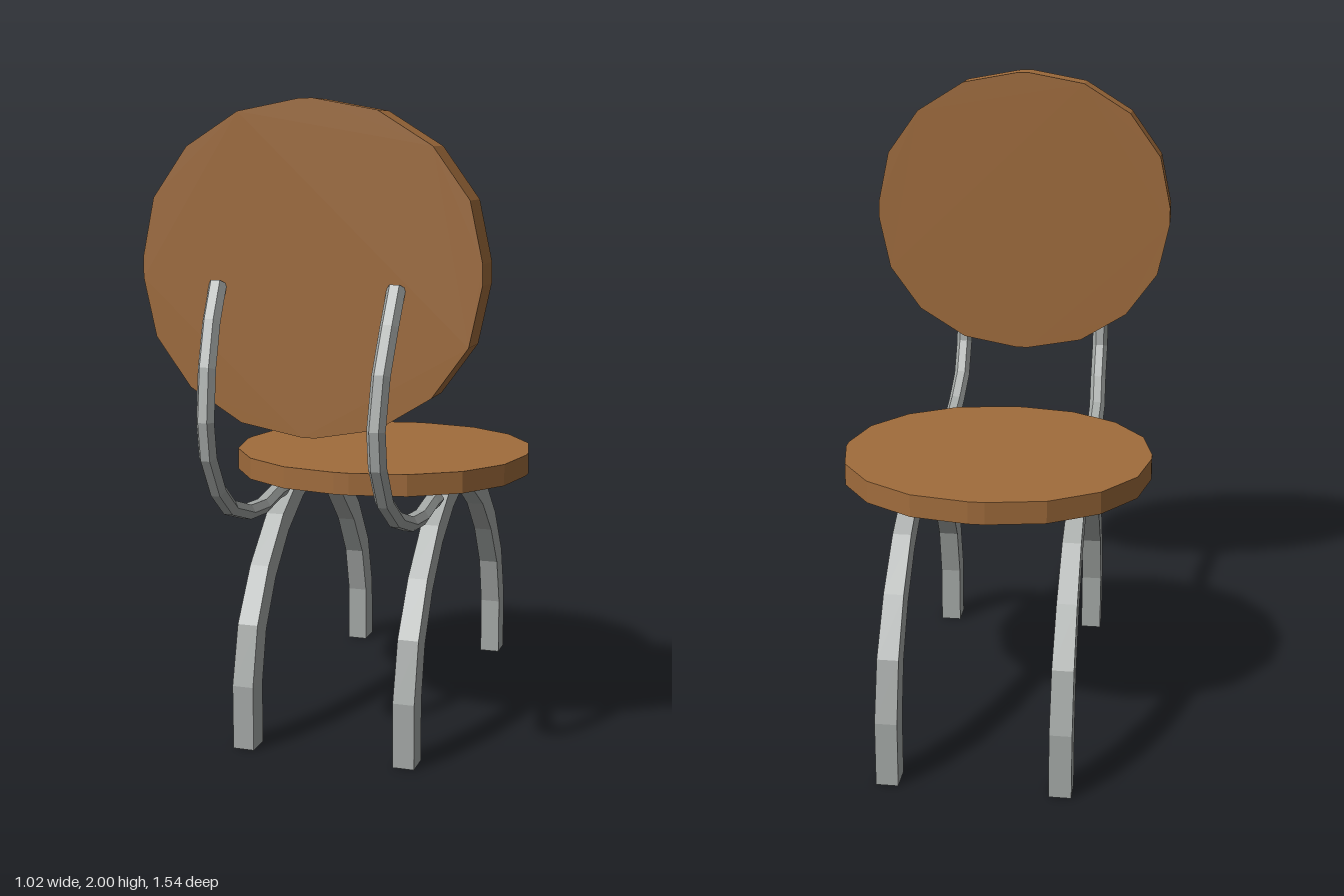
import * as THREE from 'three';

const wood = new THREE.MeshStandardMaterial({ color: 0xa06c3c });
wood.name = 'wood';
const steel = new THREE.MeshStandardMaterial({ color: 0xa6aaa8 });
steel.name = 'steel';

// Faceted disc: four elliptical corners joined by very short straights
function disc(rx, ry, flatX, flatY, depth) {
  const points = [];
  const signs = [[1, 1], [-1, 1], [-1, -1], [1, -1]];
  signs.forEach(([sx, sy], q) => {
    for (let i = 0; i <= 4; i++) {
      const a = (q + i / 4) * Math.PI / 2;
      points.push(new THREE.Vector2(
        sx * flatX + (rx - flatX) * Math.cos(a),
        sy * flatY + (ry - flatY) * Math.sin(a)));
    }
  });
  return new THREE.ExtrudeGeometry(new THREE.Shape(points), { depth, bevelEnabled: false });
}

// Flat-faced bar swept along stations [x, y, z, halfWidth, halfThickness]
function bar(stations, section) {
  const n = section.length;
  const pos = [];
  const index = [];
  stations.forEach(([x, y, z, w, t], i) => {
    const a = stations[Math.max(i - 1, 0)];
    const b = stations[Math.min(i + 1, stations.length - 1)];
    const len = Math.hypot(b[1] - a[1], b[2] - a[2]);
    const ty = (b[1] - a[1]) / len;
    const tz = (b[2] - a[2]) / len;
    for (const [u, v] of section) pos.push(x + u * w, y + v * t * tz, z - v * t * ty);
  });
  const last = (stations.length - 1) * n;
  for (let r = 0; r < last; r += n) {
    for (let j = 0; j < n; j++) {
      const k = (j + 1) % n;
      index.push(r + j, r + k, r + n + k, r + j, r + n + k, r + n + j);
    }
  }
  for (let j = 1; j < n - 1; j++) {
    index.push(0, j + 1, j, last, last + j, last + j + 1);
  }
  const g = new THREE.BufferGeometry();
  g.setAttribute('position', new THREE.Float32BufferAttribute(pos, 3));
  g.setIndex(index);
  const flat = g.toNonIndexed();
  flat.computeVertexNormals();
  return flat;
}

const square = [[1, -1], [1, 1], [-1, 1], [-1, -1]];
const hexagon = Array.from({ length: 6 }, (_, i) => {
  const a = i * Math.PI / 3;
  return [Math.cos(a), Math.sin(a)];
});

// Half of the leg arch: [distance from arch centre, y, half width]
const archHalf = [
  [0.585, 0, 0.034], [0.585, 0.2, 0.034], [0.54, 0.375, 0.033],
  [0.44, 0.53, 0.031], [0.305, 0.66, 0.029], [0.15, 0.75, 0.027], [0.04, 0.785, 0.026],
];
const archZ = -0.145;

// Back support path: [sideways drift, y, z]
const supportPath = [
  [0, 0.765, 0.12], [0, 0.765, 0.18], [0, 0.745, 0.3], [0, 0.755, 0.43],
  [0, 0.8, 0.57], [0.005, 0.875, 0.67], [0.005, 0.985, 0.735], [0.005, 1.09, 0.75],
  [0, 1.24, 0.72], [-0.007, 1.37, 0.665], [-0.01, 1.475, 0.605],
];

export function createModel() {
  const group = new THREE.Group();
  const add = (name, geometry, material) => {
    const mesh = new THREE.Mesh(geometry, material);
    mesh.name = name;
    group.add(mesh);
    return mesh;
  };

  // Round seat and backrest
  add('seat', disc(0.492, 0.468, 0.025, 0.02, 0.07).rotateX(-Math.PI / 2), wood)
    .position.set(-0.002, 0.8, -0.161);
  add('backrest', disc(0.511, 0.483, 0.02, 0.03, 0.115), wood)
    .position.set(0, 1.517, 0.495);

  // Arched legs and curved back supports on both sides
  for (const [side, legX, supportX] of [['left', 0.252, 0.253], ['right', -0.27, -0.267]]) {
    const back = archHalf.map(([d, y, w]) => [legX, y, archZ + d, w, 0.041]);
    const front = archHalf.map(([d, y, w]) => [legX, y, archZ - d, w, 0.041]).reverse();
    add(side + 'LegArch', bar([...back, ...front], square), steel);

    const dir = -1;
    const support = supportPath.map(([dx, y, z]) =>
      [supportX + dx * dir * Math.sign(supportX), y, z, 0.028, 0.026]);
    add(side + 'BackSupport', bar(support, hexagon), steel);
  }
  return group;
}
